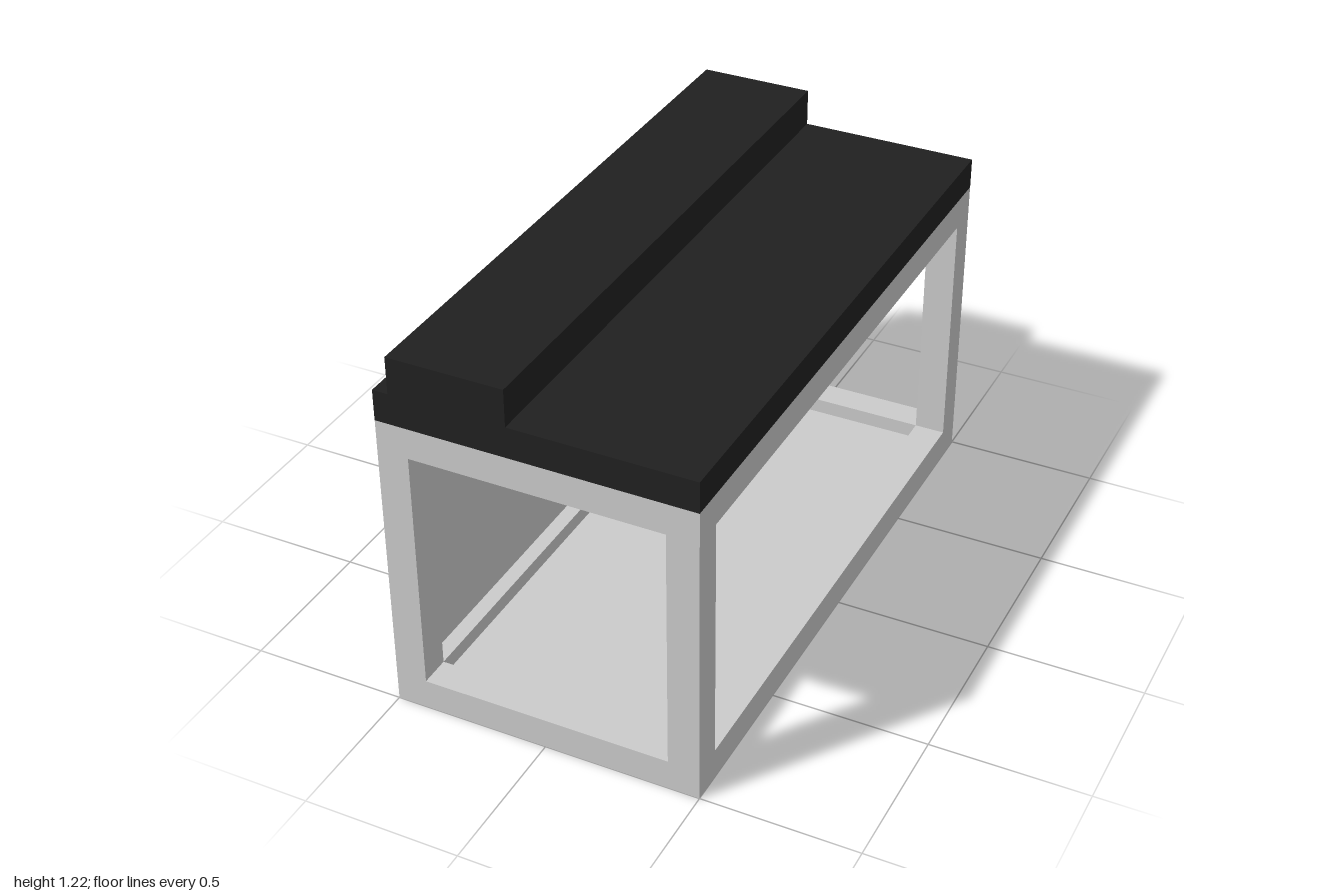
import * as THREE from 'three';

const grey = new THREE.MeshStandardMaterial({ color: 0xcccccc });
const thin = new THREE.MeshStandardMaterial({ color: 0xcccccc, side: THREE.DoubleSide });
const black = new THREE.MeshStandardMaterial({ color: 0x202020 });

function add(parent, name, geometry, material, x, y, z) {
  const mesh = new THREE.Mesh(geometry, material);
  mesh.name = name;
  mesh.position.set(x, y, z);
  parent.add(mesh);
  return mesh;
}

function rectangle(path, x0, x1, y0, y1) {
  path.moveTo(x0, y0);
  path.lineTo(x1, y0);
  path.lineTo(x1, y1);
  path.lineTo(x0, y1);
  path.closePath();
  return path;
}

export function createModel() {
  const model = new THREE.Group();
  model.name = 'openFrameBox';
  const T = 0.1; // beam thickness

  // Frame: four posts, four long rails and four cross rails
  const frame = new THREE.Group();
  frame.name = 'frame';
  model.add(frame);
  for (const a of [-1, 1]) {
    for (const b of [-1, 1]) {
      add(frame, 'cornerPost', new THREE.BoxGeometry(T, 1, T), grey, a * 0.45, 0.5, b * 0.95);
      add(frame, 'longRail', new THREE.BoxGeometry(T, T, 1.8), grey, a * 0.45, 0.5 + b * 0.45, 0);
      add(frame, 'crossRail', new THREE.BoxGeometry(0.8, T, T), grey, 0, 0.5 + a * 0.45, b * 0.95);
    }
  }

  // Thin panels set in the middle of the beams
  const side = add(model, 'sidePanel', new THREE.PlaneGeometry(1.8, 0.8), thin, -0.45, 0.5, 0);
  side.rotation.y = -Math.PI / 2;
  const floor = add(model, 'floorPanel', new THREE.PlaneGeometry(0.8, 1.8), thin, 0, 0.05, 0);
  floor.rotation.x = -Math.PI / 2;

  // Roof slab with a long slot beneath the ridge
  const slab = rectangle(new THREE.Shape(), -0.5, 0.5, -1, 1);
  slab.holes.push(rectangle(new THREE.Path(), -0.4, -0.13, -0.95, 0.95));
  const slabGeometry = new THREE.ExtrudeGeometry(slab, { depth: 0.1, bevelEnabled: false });
  slabGeometry.rotateX(-Math.PI / 2);
  add(model, 'roofSlab', slabGeometry, black, 0, 1, 0);

  // Raised ridge closing the slot from above
  add(model, 'roofRidge', new THREE.BoxGeometry(0.37, 0.12, 2), black, -0.265, 1.16, 0);

  return model;
}
